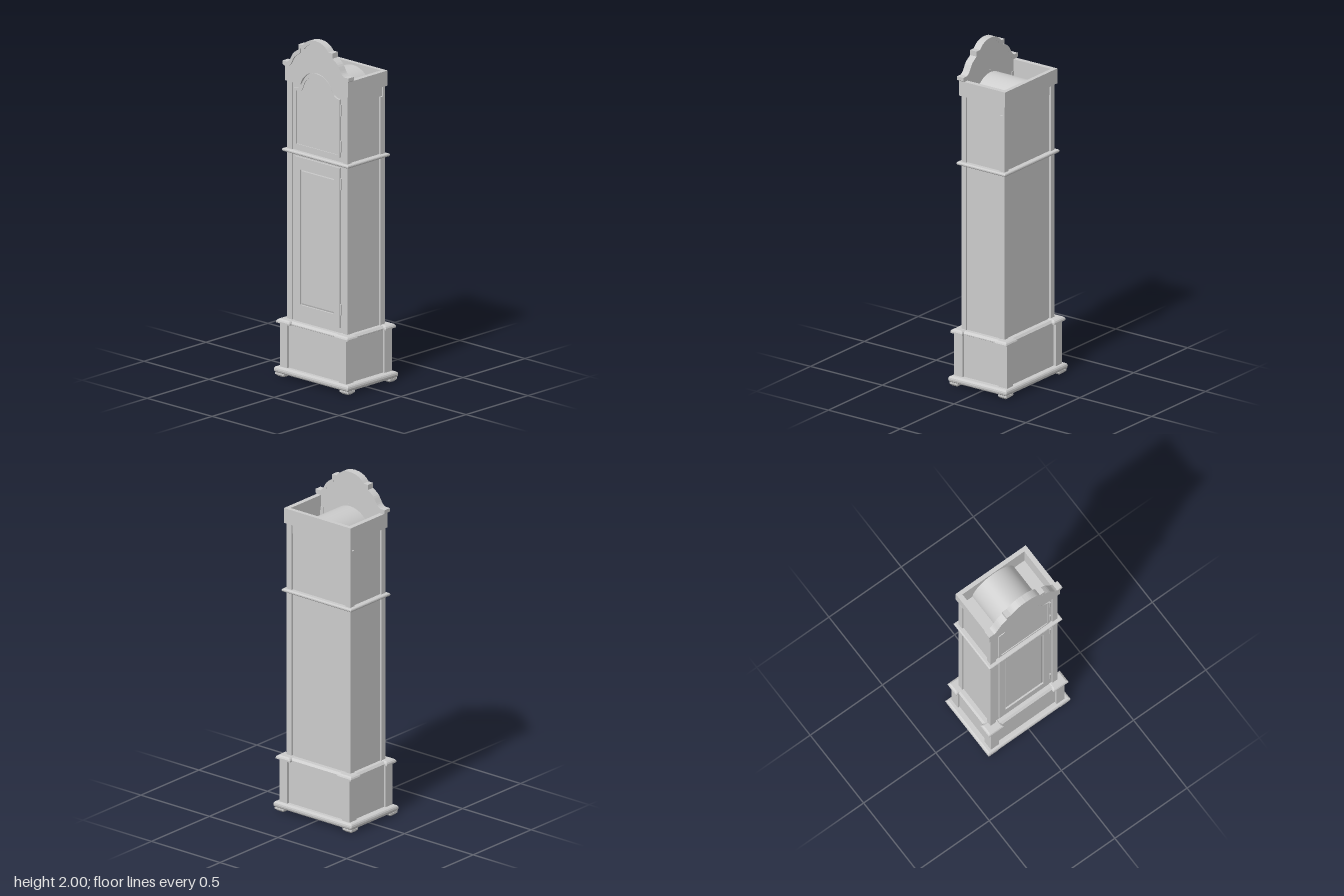
import * as THREE from 'three';

const material = new THREE.MeshStandardMaterial({ color: 0xcccccc, side: THREE.DoubleSide });

function add(parent, name, geometry) {
  const mesh = new THREE.Mesh(geometry, material);
  mesh.name = name;
  parent.add(mesh);
  return mesh;
}

// Box given by its minimum and maximum corners
function box(parent, name, [x0, y0, z0], [x1, y1, z1]) {
  const g = new THREE.BoxGeometry(x1 - x0, y1 - y0, z1 - z0);
  g.translate((x0 + x1) / 2, (y0 + y1) / 2, (z0 + z1) / 2);
  return add(parent, name, g);
}

// Rectangular moulding: rings of [inset, y] stacked on a footprint and capped
function moulding(parent, name, x0, x1, z0, z1, profile) {
  const rings = profile.map(([i, y]) => [
    [x0 + i, y, z0 + i], [x0 + i, y, z1 - i], [x1 - i, y, z1 - i], [x1 - i, y, z0 + i]]);
  const pos = [];
  const quad = (a, b, c, d) => pos.push(...a, ...b, ...c, ...a, ...c, ...d);
  for (let r = 0; r + 1 < rings.length; r++) {
    const lo = rings[r], hi = rings[r + 1];
    for (let k = 0; k < 4; k++) quad(lo[k], lo[(k + 1) % 4], hi[(k + 1) % 4], hi[k]);
  }
  quad(...rings[rings.length - 1]);
  quad(...[...rings[0]].reverse());
  const g = new THREE.BufferGeometry();
  g.setAttribute('position', new THREE.Float32BufferAttribute(pos, 3));
  g.computeVertexNormals();
  return add(parent, name, g);
}

// Half-round edge between two heights
function roundEdge(y0, y1, bulge, steps = 6) {
  return Array.from({ length: steps + 1 }, (_, i) => {
    const a = Math.PI * i / steps;
    return [bulge * (1 - Math.sin(a)), (y0 + y1) / 2 - Math.cos(a) * (y1 - y0) / 2];
  });
}

const v = (x, y) => new THREE.Vector2(x, y);
const mirrored = pts => pts.map(p => v(-p.x, p.y)).reverse();
const spline = (pts, n = 12) => new THREE.SplineCurve(pts.map(p => v(...p))).getPoints(n);

function extrude(parent, name, shape, z0, z1) {
  const g = new THREE.ExtrudeGeometry(shape, { depth: z1 - z0, bevelEnabled: false });
  g.translate(0, 0, z0);
  return add(parent, name, g);
}

// Arched door outline, shrunk by an inset
function archOutline(inset, bottom) {
  const r = 0.125 - inset, cy = 1.68, w = 0.175 - inset, a0 = 0.36;
  const half = [v(w, bottom), v(w, 1.692 - inset), v(w - 0.025, 1.695 - inset),
    v(w - 0.045, 1.706 - inset)];
  for (let i = 0; i <= 14; i++) {
    const a = a0 + (Math.PI / 2 - a0) * i / 14;
    half.push(v(r * Math.cos(a), cy + r * Math.sin(a)));
  }
  return [...half, ...mirrored(half).slice(1)];
}

function rectOutline(w, y0, y1) {
  return [v(-w, y0), v(w, y0), v(w, y1), v(-w, y1)];
}

function frame(outer, inner) {
  const s = new THREE.Shape(outer);
  s.holes.push(new THREE.Path(inner));
  return s;
}

function buildBase(clock) {
  const base = new THREE.Group();
  base.name = 'base';
  moulding(base, 'plinth', -0.285, 0.285, -0.203, 0.203, roundEdge(0.02, 0.058, 0.014));
  box(base, 'basePanels', [-0.243, 0.058, -0.168], [0.243, 0.315, 0.168]);
  moulding(base, 'baseCap', -0.258, 0.258, -0.178, 0.178,
    [[0.012, 0.308], [0, 0.314], [0, 0.32], [0.012, 0.332]]);
  for (const sx of [-1, 1]) for (const sz of [-1, 1]) {
    const span = (s, a, b) => s > 0 ? [a, b] : [-b, -a];
    const block = (name, xa, xb, za, zb, profile) =>
      moulding(base, name, ...span(sx, xa, xb), ...span(sz, za, zb), profile);
    block('foot', 0.215, 0.28, 0.14, 0.198, [[0.012, 0], [0, 0.012], [0, 0.022]]);
    block('basePost', 0.2, 0.255, 0.125, 0.185, [[0, 0.056], [0, 0.315]]);
    block('postCap', 0.172, 0.275, 0.113, 0.195,
      [[0.012, 0.308], [0, 0.312], [0, 0.321], [0.004, 0.329], [0.013, 0.335]]);
  }
  clock.add(base);
}

function buildCase(clock) {
  const body = new THREE.Group();
  body.name = 'case';
  box(body, 'trunk', [-0.222, 0.33, -0.14], [0.222, 1.66, 0.13]);
  box(body, 'frontPanel', [-0.21, 0.33, 0.122], [0.21, 1.81, 0.143]);
  box(body, 'backPanel', [-0.222, 1.66, -0.142], [0.222, 1.74, -0.137]);
  for (const sx of [-1, 1]) {
    const x = (a, b) => sx > 0 ? [a, b] : [-b, -a];
    const [w0, w1] = x(0.215, 0.222), [p0, p1] = x(0.196, 0.232), [f0, f1] = x(0.214, 0.243);
    box(body, 'sidePanel', [w0, 1.66, -0.14], [w1, 1.74, 0.13]);
    box(body, 'frontPost', [p0, 0.33, 0.118], [p1, 1.74, 0.151]);
    // Rear posts stop under the open top
    box(body, 'rearPost', [p0, 0.33, -0.151], [p1, 1.66, -0.116]);
    box(body, 'rearPostTop', [p0, 1.66, -0.151], [p1, 1.73, -0.137]);
    box(body, 'sideFrieze', [f0, 1.72, -0.162], [f1, 1.808, 0.157]);
  }
  box(body, 'backFrieze', [-0.243, 1.72, -0.162], [0.243, 1.808, -0.137]);
  moulding(body, 'waistMoulding', -0.253, 0.253, -0.17, 0.17, roundEdge(1.308, 1.327, 0.008));

  // Vaulted roof inside the open top
  const vault = new THREE.CylinderGeometry(0.145, 0.145, 0.262, 32, 1, false, -Math.PI / 2, Math.PI);
  vault.rotateX(-Math.PI / 2);
  vault.translate(0, 1.65, -0.008);
  add(body, 'vaultedRoof', vault);
  clock.add(body);
}

function buildPediment(clock) {
  const pediment = new THREE.Group();
  pediment.name = 'pediment';
  const upper = [v(0.253, 1.815), v(0.253, 1.835),
    ...spline([[0.218, 1.835], [0.198, 1.852], [0.17, 1.896], [0.13, 1.925]]),
    v(0.13, 1.955), ...spline([[0.098, 1.955], [0.075, 1.978], [0.04, 1.995], [0, 2]])];
  const lower = [v(0.243, 1.808),
    ...spline([[0.212, 1.812], [0.19, 1.828], [0.163, 1.872], [0.12, 1.905]]),
    v(0.118, 1.932), ...spline([[0.09, 1.934], [0.068, 1.957], [0.036, 1.974], [0, 1.98]])];
  const top = [...lower, ...mirrored(lower).slice(1)];

  // Front board with an arched opening over the door
  const arch = archOutline(-0.006, 1.72).filter(p => p.y > 1.722);
  const board = new THREE.Shape([...top, v(-0.243, 1.72), v(arch[arch.length - 1].x, 1.72),
    ...arch.reverse(), v(arch[arch.length - 1].x, 1.72), v(0.243, 1.72)]);
  extrude(pediment, 'pedimentBoard', board, 0.122, 0.157);

  const outline = [...upper, ...mirrored(upper).slice(1)];
  extrude(pediment, 'pedimentMoulding', new THREE.Shape([...outline, ...top.reverse()]), 0.121, 0.166);
  clock.add(pediment);
}

function buildDoors(clock) {
  const lower = new THREE.Group();
  lower.name = 'trunkDoor';
  extrude(lower, 'doorFrame',
    frame(rectOutline(0.173, 0.363, 1.293), rectOutline(0.132, 0.435, 1.222)), 0.135, 0.153);
  const panel = moulding(lower, 'doorPanel', -0.132, 0.132, -0.394, 0.394,
    [[0, 0], [0, 0.002], [0.01, 0.005]]);
  panel.rotation.x = Math.PI / 2;
  panel.position.set(0, 0.8285, 0.141);

  const upper = new THREE.Group();
  upper.name = 'hoodDoor';
  extrude(upper, 'archedFrame',
    frame(archOutline(0, 1.355), archOutline(0.016, 1.368)), 0.135, 0.154);
  extrude(upper, 'archedPanel', new THREE.Shape(archOutline(0.014, 1.366)), 0.135, 0.149);

  // Hinges on the left edge of both doors
  for (const [door, y] of [[lower, 0.47], [lower, 1.2], [upper, 1.42], [upper, 1.63]]) {
    const hinge = new THREE.CylinderGeometry(0.006, 0.006, 0.065, 12);
    hinge.translate(0.179, y, 0.149);
    add(door, 'hinge', hinge);
  }
  clock.add(lower, upper);
}

export function createModel() {
  const clock = new THREE.Group();
  clock.name = 'longcaseClock';
  buildBase(clock);
  buildCase(clock);
  buildPediment(clock);
  buildDoors(clock);
  return clock;
}
